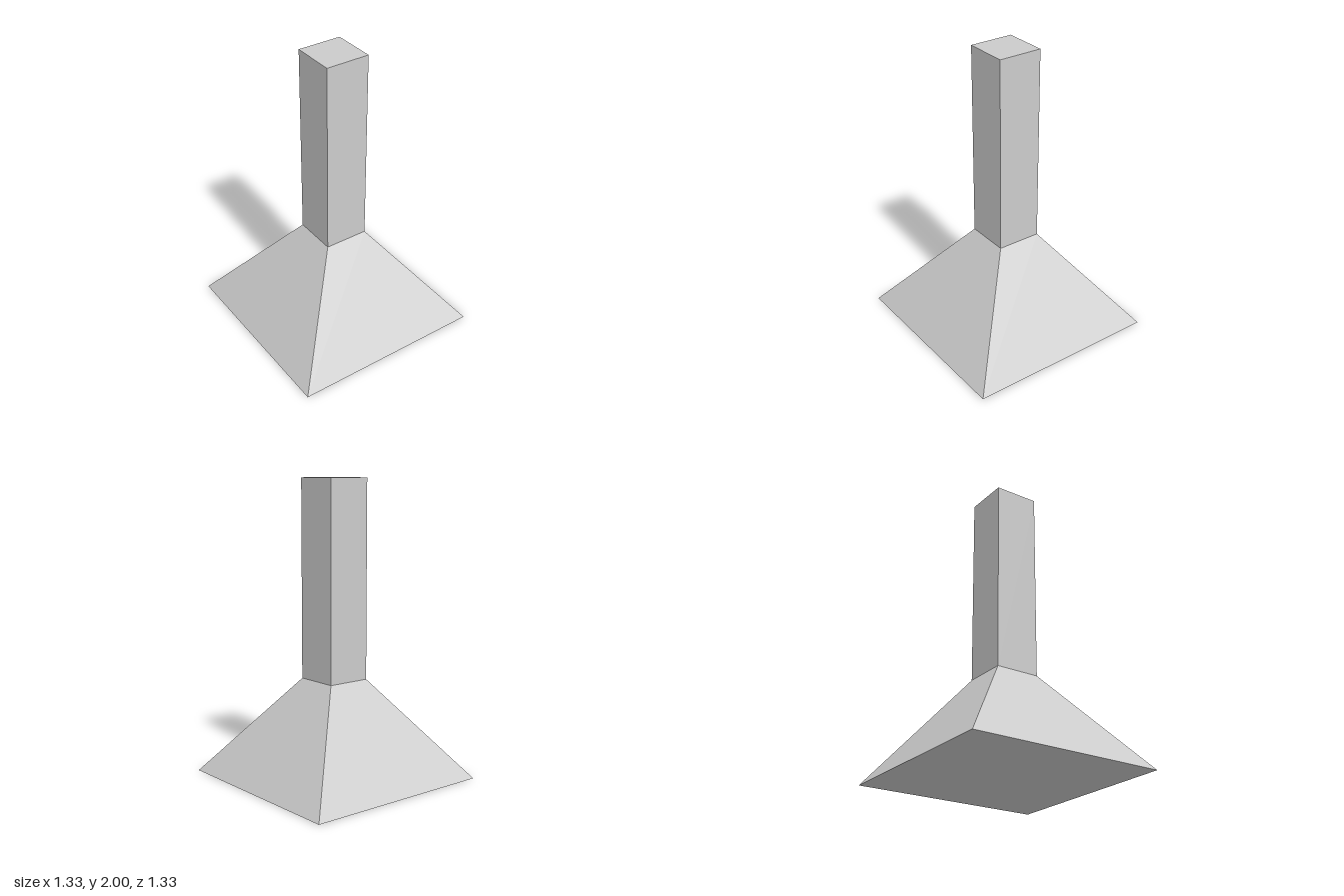
import * as THREE from 'three';

const BASE_HALF = 0.665;   // half width of the hood at the bottom
const NECK_HALF = 0.152;   // half width of the chimney
const HOOD_HEIGHT = 0.667;
const TOTAL_HEIGHT = 2;

// Four-sided tapered block with sides facing the axes, standing on y = bottom
function squareFrustum(name, topHalf, bottomHalf, bottom, height, material, open = false) {
  const geometry = new THREE.CylinderGeometry(
    topHalf * Math.SQRT2, bottomHalf * Math.SQRT2, height, 4, 1, open);
  geometry.rotateY(Math.PI / 4);
  geometry.translate(0, bottom + height / 2, 0);
  const mesh = new THREE.Mesh(geometry, material);
  mesh.name = name;
  return mesh;
}

export function createModel() {
  const group = new THREE.Group();
  group.name = 'chimneyHood';
  const material = new THREE.MeshStandardMaterial({ color: 0xcccccc, flatShading: true });

  // Flared pyramid hood with a closed underside
  group.add(squareFrustum('hood', NECK_HALF, BASE_HALF, 0, HOOD_HEIGHT, material));

  // Straight square chimney rising from the hood
  group.add(squareFrustum('chimney', NECK_HALF, NECK_HALF,
    HOOD_HEIGHT, TOTAL_HEIGHT - HOOD_HEIGHT, material));

  return group;
}
